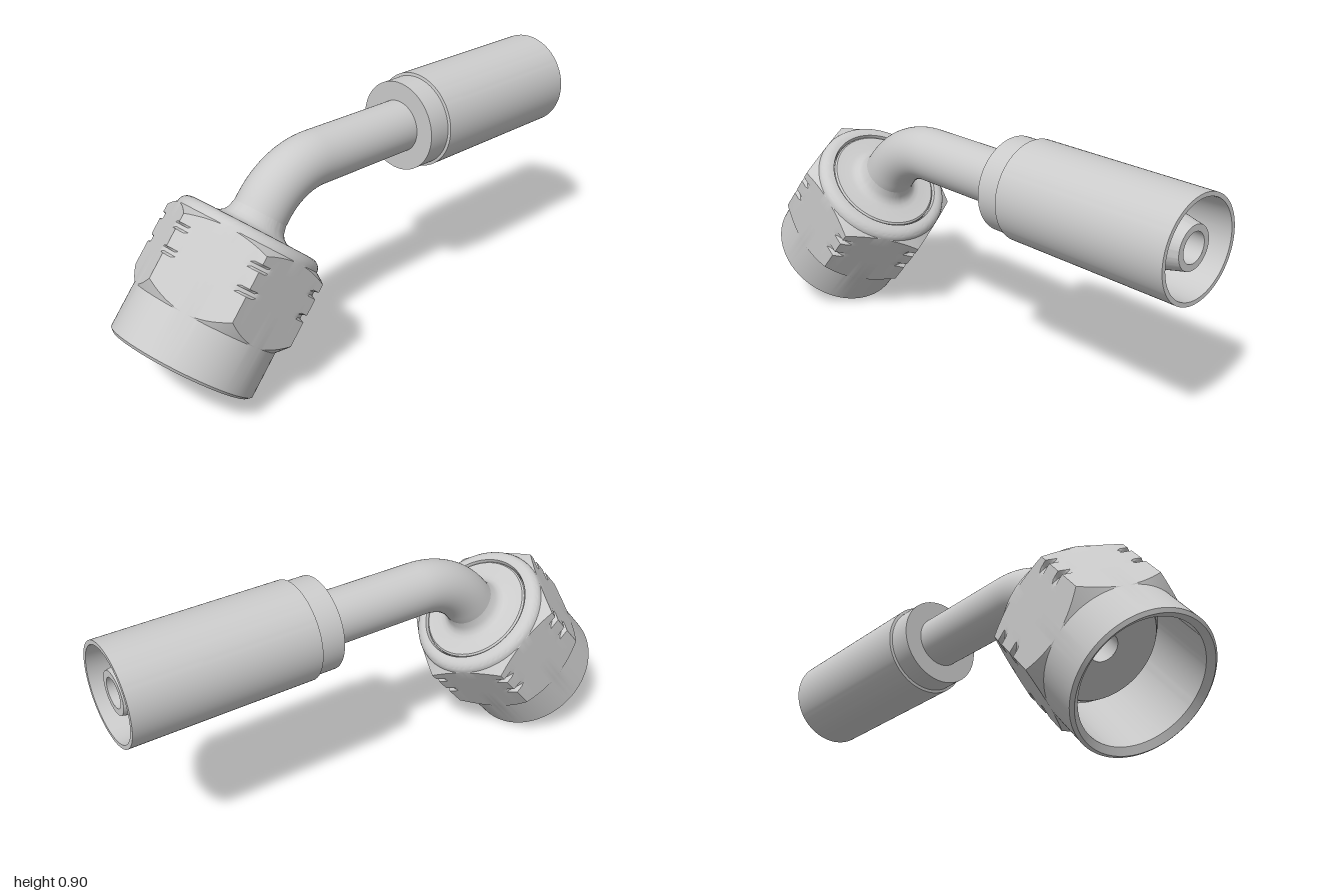
import * as THREE from 'three';
import { toCreasedNormals } from 'three/addons/utils/BufferGeometryUtils.js';

const grey = new THREE.MeshStandardMaterial({ color: 0xcccccc });
const greyInside = new THREE.MeshStandardMaterial({ color: 0xcccccc, side: THREE.BackSide });

const TILT = THREE.MathUtils.degToRad(50);      // bend angle of the elbow
const AXIS_Y = 0.73;                            // height of the hose axis
const NUT = new THREE.Vector3(-0.8, 0.168, 0);  // centre of the nut's open end
const BEND_R = 0.3;
const BEND_X = -0.188;                          // where the straight pipe starts to bend

function part(name, geometry, material = grey) {
  const m = new THREE.Mesh(geometry, material);
  m.name = name;
  return m;
}

// Turned part from [radius, height] pairs, sharp at strong corners
function turned(name, pairs) {
  const g = new THREE.LatheGeometry(pairs.map(([r, y]) => new THREE.Vector2(r, y)), 96);
  return part(name, toCreasedNormals(g, 0.5));
}

// Point on the nut axis at distance t from its open end
function onNutAxis(t) {
  return new THREE.Vector3(NUT.x + t * Math.cos(TILT), NUT.y + t * Math.sin(TILT), 0);
}

// Elbow centre line from the nut to the hose end
function elbowPath(tStart, xEnd) {
  const arc = [];
  for (let i = 0; i <= 24; i++) {
    const a = Math.PI / 2 + TILT * (1 - i / 24);
    arc.push(new THREE.Vector3(BEND_X + BEND_R * Math.cos(a), AXIS_Y - BEND_R + BEND_R * Math.sin(a), 0));
  }
  const path = new THREE.CurvePath();
  path.add(new THREE.LineCurve3(onNutAxis(tStart), arc[0]));
  path.add(new THREE.CatmullRomCurve3(arc));
  path.add(new THREE.LineCurve3(arc[24], new THREE.Vector3(xEnd, AXIS_Y, 0)));
  return path;
}

// Cross-section of the nut at one angle: hexagon trimmed by conical chamfers and corner notches
function nutColumn(angle) {
  const flat = 0.262, third = Math.PI / 3;
  const toFlat = (angle % third) - third / 2;
  const h = flat / Math.cos(toFlat);
  const k = (h - flat) / (flat / Math.cos(third / 2) - flat);   // 0 mid flat, 1 at corner
  const rows = [[0.25, 0], [flat, 0.01], [flat, 0.175], [h, 0.176 + 0.044 * k]];
  for (const t of [0.322, 0.407]) {
    const cut = Math.min(h, 0.283);
    rows.push([h, t - 0.013], [cut, t - 0.006], [cut, t + 0.006], [h, t + 0.013]);
  }
  rows.push([h, 0.474 - 0.025 * k], [flat, 0.475]);
  for (let i = 1; i <= 6; i++) {                                // rounded bead
    const a = (i / 6) * Math.PI / 2;
    rows.push([0.224 + 0.038 * Math.cos(a), 0.475 + 0.035 * Math.sin(a)]);
  }
  rows.push([0.213, 0.51], [0.209, 0.5], [0.209, 0.32], [0.228, 0.3], [0.228, 0.02], [0.25, 0]);
  return rows;
}

function hexNut() {
  const N = 144, pos = [], index = [];
  let count = 0;
  for (let j = 0; j <= N; j++) {
    const a = (j / N) * Math.PI * 2;
    const rows = nutColumn(a);
    count = rows.length;
    for (const [r, y] of rows) pos.push(r * Math.cos(a), y, -r * Math.sin(a));
  }
  for (let j = 0; j < N; j++) {
    for (let i = 0; i < count - 1; i++) {
      const a = j * count + i, b = a + count;
      index.push(a, b, b + 1, a, b + 1, a + 1);
    }
  }
  const g = new THREE.BufferGeometry();
  g.setAttribute('position', new THREE.Float32BufferAttribute(pos, 3));
  g.setIndex(index);
  return part('hexNut', toCreasedNormals(g, 0.4));
}

export function createModel() {
  const model = new THREE.Group();
  model.name = 'hoseFitting';

  // Swivel nut with the sleeve it turns on
  const swivel = new THREE.Group();
  swivel.name = 'swivelNut';
  swivel.position.copy(NUT);
  swivel.rotation.z = TILT - Math.PI / 2;
  swivel.add(hexNut());
  swivel.add(turned('sleeve', [
    [0.052, 0.26], [0.198, 0.26], [0.206, 0.27], [0.206, 0.502], [0.2, 0.508],
    [0.145, 0.51], [0.127, 0.514], [0.113, 0.524], [0.104, 0.54], [0.098, 0.565],
  ]));
  model.add(swivel);

  // Bent pipe and its bore
  model.add(part('bentPipe', new THREE.TubeGeometry(elbowPath(0.5, 0.26), 100, 0.098, 64)));
  model.add(part('bore', new THREE.TubeGeometry(elbowPath(0.26, 0.98), 140, 0.052, 48), greyInside));

  // Crimp ferrule and the nipple inside it
  const hoseEnd = new THREE.Group();
  hoseEnd.name = 'hoseEnd';
  hoseEnd.position.y = AXIS_Y;
  hoseEnd.rotation.z = -Math.PI / 2;
  hoseEnd.add(turned('ferrule', [
    [0.09, 0.23], [0.169, 0.23], [0.169, 0.32], [0.18, 0.322], [0.18, 1],
    [0.165, 1], [0.14, 0.45], [0.08, 0.45],
  ]));
  hoseEnd.add(turned('nipple', [[0.093, 0.44], [0.093, 0.9], [0.075, 0.98], [0.052, 0.98]]));
  model.add(hoseEnd);

  return model;
}
